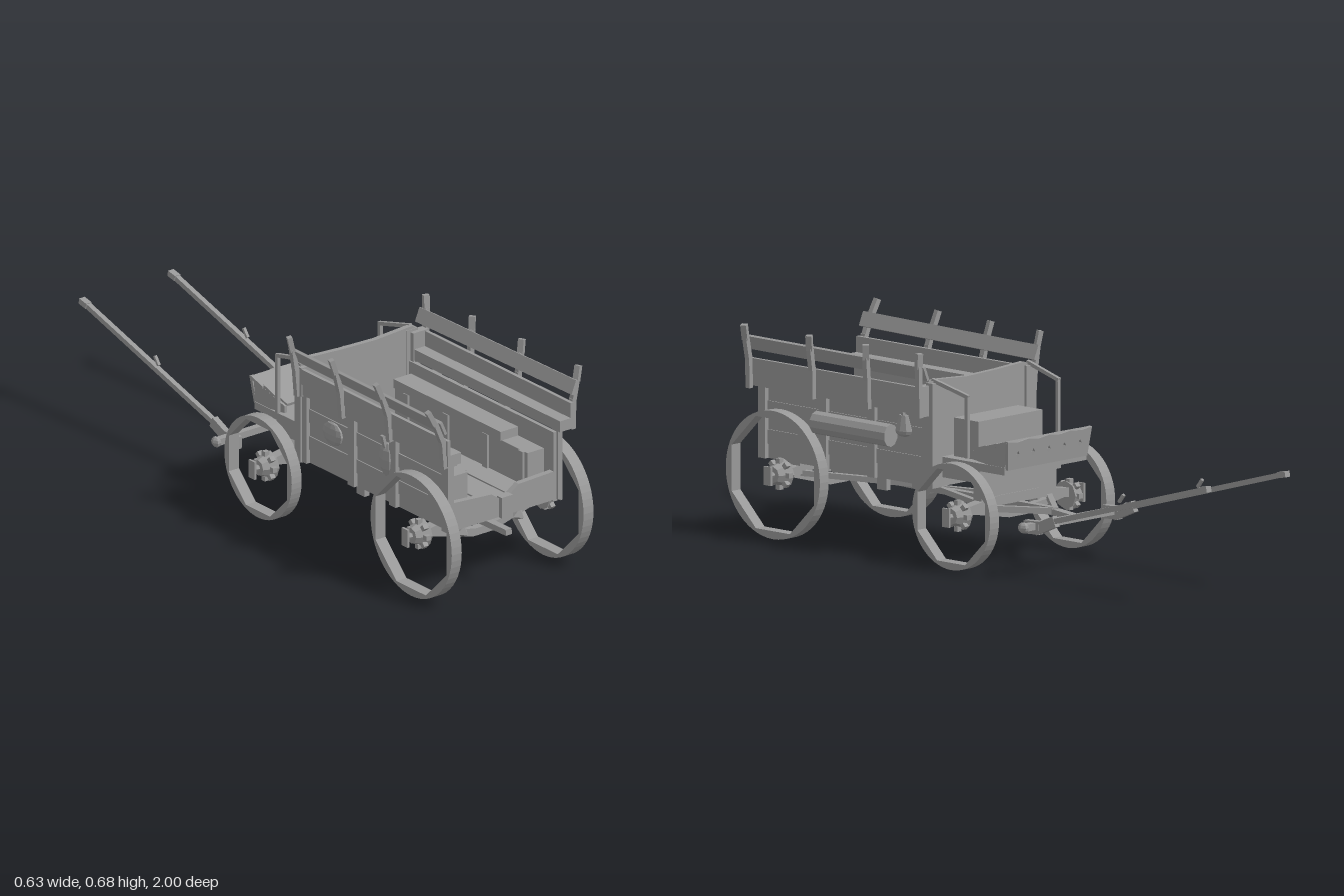
import * as THREE from 'three';

export function createModel() {
  const wagon = new THREE.Group();
  wagon.name = 'wagon';
  const grey = new THREE.MeshStandardMaterial({ color: 0x999999, flatShading: true, side: THREE.DoubleSide });
  grey.name = 'weathered grey';

  const add = (name, geo, x = 0, y = 0, z = 0, parent = wagon) => {
    const m = new THREE.Mesh(geo, grey);
    m.name = name;
    m.position.set(x, y, z);
    parent.add(m);
    return m;
  };
  // box given by its limits on each axis
  const box = (name, x0, x1, y0, y1, z0, z1) =>
    add(name, new THREE.BoxGeometry(Math.abs(x1 - x0), y1 - y0, z1 - z0), (x0 + x1) / 2, (y0 + y1) / 2, (z0 + z1) / 2);
  // straight timber between two points
  const beam = (name, a, b, w, h) => {
    const p = new THREE.Vector3(...a), q = new THREE.Vector3(...b);
    const m = add(name, new THREE.BoxGeometry(w, h, p.distanceTo(q)), ...p.clone().add(q).multiplyScalar(0.5).toArray());
    m.lookAt(q);
    return m;
  };
  const polygon = (pts) => new THREE.Shape(pts.map(([x, y]) => new THREE.Vector2(x, y)));
  const slab = (shape, depth) => new THREE.ExtrudeGeometry(shape, { depth, bevelEnabled: false, curveSegments: 28 });
  const ball = (name, x, y, z, sx, sy, sz, seg = 8) =>
    add(name, new THREE.SphereGeometry(1, seg, 6), x, y, z).scale.set(sx, sy, sz);

  // wheels: round rim with an eight-sided inner edge, separate hub
  const wheel = (name, s, x, z, y, r) => {
    const g = new THREE.Group();
    g.name = name;
    g.position.set(x, y, z);
    wagon.add(g);
    const rim = new THREE.Shape().absarc(0, 0, r, 0, Math.PI * 2);
    const hole = [];
    for (let i = 0; i < 8; i++) {
      const a = (i + 0.5) * Math.PI / 4;
      hole.push(new THREE.Vector2(Math.cos(a), Math.sin(a)).multiplyScalar(r - 0.011));
    }
    rim.holes.push(new THREE.Path(hole));
    const geo = slab(rim, 0.04);
    geo.translate(0, 0, -0.02);
    add(name + 'Rim', geo, 0, 0, 0, g).rotation.y = Math.PI / 2;
    const hub = add(name + 'Hub', new THREE.CylinderGeometry(0.026, 0.046, 0.05, 8), s * -0.005, 0, 0, g);
    hub.rotation.z = -s * Math.PI / 2;
    for (let i = 0; i < 8; i++) {
      const a = i * Math.PI / 4;
      const stub = add(name + 'SpokeStub', new THREE.BoxGeometry(0.018, 0.016, 0.016), s * -0.01, Math.cos(a) * 0.042, Math.sin(a) * 0.042, g);
      stub.rotation.x = a;
    }
    const axleEnd = add(name + 'AxleEnd', new THREE.CylinderGeometry(0.008, 0.012, 0.04, 6), s * 0.025, 0, 0, g);
    axleEnd.rotation.z = -s * Math.PI / 2;
    add(name + 'Linchpin', new THREE.BoxGeometry(0.008, 0.06, 0.03), s * 0.042, 0, 0, g);
  };

  // bed floor planks
  for (let i = 0; i < 8; i++) {
    const x = -0.2 + i * 0.05;
    box('floorPlank', x, x + 0.049, 0.25, 0.285 + (i % 2) * 0.004, 0.17, 0.9);
  }
  // low tail board with dipped middle and a tongue
  const tail = polygon([[-0.228, 0.24], [0.225, 0.24], [0.225, 0.338], [0.06, 0.332], [0.025, 0.308],
    [-0.02, 0.305], [-0.05, 0.325], [-0.19, 0.335], [-0.228, 0.335]]);
  add('tailBoard', slab(tail, 0.02), 0, 0, 0.89);
  box('tailTongue', -0.02, 0.025, 0.24, 0.31, 0.9, 0.925);

  // head board behind the driver, top edge sagging
  const head = polygon([[-0.205, 0.24], [0.205, 0.24], [0.235, 0.3], [0.235, 0.57], [0.215, 0.585], [0.07, 0.576],
    [-0.07, 0.58], [-0.19, 0.587], [-0.205, 0.582]]);
  add('headBoard', slab(head, 0.018), 0, 0, 0.16);

  for (const s of [-1, 1]) {
    // side wall planks and uprights
    for (let i = 0; i < 5; i++) {
      const y = 0.24 + i * 0.046;
      box('sidePlank', s * 0.2, s * (0.214 + (i % 2) * 0.004), y, y + 0.046, 0.17, 0.91);
    }
    for (const z of [0.17, 0.41, 0.62, 0.885]) box('sideUpright', s * 0.212, s * 0.229, 0.24, 0.475, z, z + 0.032);
    box('cornerPost', s * 0.19, s * 0.235, 0.24, 0.575, 0.15, 0.18);
    box('sillBlock', s * 0.165, s * 0.185, 0.195, 0.25, 0.4, 0.44);
    box('sillBlock', s * 0.165, s * 0.185, 0.22, 0.25, 0.66, 0.71);

    // ledge on top of the wall with an end block and an outer board
    const mid = s * 0.224 + 0.011;
    box('wallLedge', mid - 0.026, mid + 0.026, 0.475, 0.512, 0.17, 0.93);
    box('ledgeBlock', mid - 0.03, mid + 0.03, 0.47, 0.567, 0.165, 0.195);
    const outer = mid + s * 0.023;
    box('outerBoard', outer - 0.006, outer + 0.006, 0.512, 0.563, 0.17, 0.93);

    // leaning stakes carrying the upper rail
    const foot = s > 0 ? 0.27 : -0.243;
    const waist = s > 0 ? 0.272 : -0.252;
    for (const [i, z] of [0.175, 0.4, 0.64, 0.915].entries()) {
      const tip = s > 0 ? 0.274 + i * 0.008 : -0.273 - i * 0.011;
      const elbow = waist + (tip - waist) * 0.55;
      beam('stakeFoot', [foot, 0.468, z], [waist, 0.57, z], 0.018, 0.016);
      beam('stake', [waist, 0.56, z], [elbow, 0.632, z], 0.018, 0.016);
      beam('stakeTip', [elbow, 0.625, z], [tip, 0.674, z - 0.004], 0.02, 0.016);
    }
    const railX = s > 0 ? 0.253 : -0.249;
    const rail = beam('upperRail', [railX, 0.608, 0.16], [railX + s * 0.012, 0.614, 0.935], 0.01, 0.048);
    rail.rotateZ(-s * 0.4);

    // bench inside the bed
    const inner = s > 0 ? 0.135 : 0.105;
    box('bench', s * inner, s * 0.2, 0.28, 0.4, 0.19, 0.86);
    box('benchSeat', s * (inner - 0.005), s * 0.2, 0.4, 0.43, s > 0 ? 0.19 : 0.26, s > 0 ? 0.73 : 0.8);
    for (const z of [0.24, 0.44, 0.64, 0.82]) box('benchBatten', s * (inner - 0.008), s * inner, 0.285, 0.4, z, z + 0.025);

    // rail beside the driver
    beam('driverRailTop', [s * 0.215, 0.583, 0.17], [s * 0.205, 0.545, 0.022], 0.012, 0.012);
    box('driverRailPost', s * 0.2, s * 0.211, 0.35, 0.548, 0.022, 0.034);
    // wedge-shaped cheek closing the dash, profile in z and y
    const cheek = polygon([[-0.035, 0.345], [0.115, 0.325], [0.128, 0.41], [-0.035, 0.368]]);
    const cheekGeo = slab(cheek, 0.01);
    cheekGeo.rotateY(Math.PI / 2);
    add('dashCheek', cheekGeo, s * 0.178 - 0.005).name = 'dashCheek';

    wheel('rearWheel', s, s > 0 ? 0.268 : -0.26, 0.795, 0.207, 0.205);
    wheel('frontWheel', s, s > 0 ? 0.272 : -0.254, 0.015, 0.176, 0.17);

    // shafts with thick roots, hooks and tips
    const sx = s * 0.178 + 0.003;
    beam('shaftRoot', [sx, 0.16, -0.205], [sx, 0.163, -0.27], 0.022, 0.042);
    beam('shaftNeck', [sx, 0.155, -0.25], [sx, 0.192, -0.335], 0.02, 0.036);
    beam('shaft', [sx, 0.183, -0.3], [sx, 0.378, -0.98], 0.017, 0.017);
    beam('shaftTip', [sx, 0.375, -0.965], [sx, 0.382, -1], 0.022, 0.019);
    beam('shaftHook', [sx, 0.29, -0.61], [sx, 0.316, -0.63], 0.01, 0.009);
    ball('crossbarEnd', s * 0.235, 0.167, -0.245, 0.014, 0.018, 0.02, 6);

    // undercarriage braces
    beam('frontBrace', [s * 0.15, 0.185, 0.015], [0, 0.178, -0.16], 0.018, 0.02);
    beam('reachBrace', [s * 0.11, 0.18, 0.02], [0, 0.185, 0.36], 0.018, 0.018);
    beam('rearBrace', [s * 0.17, 0.2, 0.79], [0, 0.185, 0.45], 0.018, 0.018);
    const knob = add('braceKnob', new THREE.OctahedronGeometry(0.024), s * 0.112, 0.192, 0.84);
    knob.rotation.set(0.4, 0.3, 0);
  }

  // driver's seat box, floor and sloping foot planks
  box('driverFloor', -0.185, 0.185, 0.27, 0.31, -0.005, 0.16);
  box('footBoard', -0.185, 0.185, 0.31, 0.335, -0.115, 0.16);
  box('driverSeat', -0.14, 0.15, 0.335, 0.458, 0.032, 0.14);
  for (let i = 0; i < 3; i++) {
    const z = 0.035 - i * 0.053, y = 0.37 + i * 0.014;
    beam('footPlank', [0, y, z], [0, y + 0.018, z - 0.058], 0.35 + i * 0.015, 0.01);
  }
  // dash panel with scalloped top and pierced diamonds
  const topEdge = [];
  for (let i = 0; i <= 8; i++) topEdge.push([0.19 - i * 0.0475, 0.094 - (i % 2) * 0.006]);
  const dash = polygon([[-0.18, 0], [0.18, 0], ...topEdge]);
  for (const x of [-0.14, -0.07, 0, 0.07, 0.14]) {
    const d = 0.012;
    dash.holes.push(new THREE.Path([[x - d * 0.7, 0.047], [x, 0.047 + d], [x + d * 0.7, 0.047], [x, 0.047 - d]]
      .map(([a, b]) => new THREE.Vector2(a, b))));
  }
  add('dashPanel', slab(dash, 0.012), 0, 0.326, -0.124).rotation.x = -0.12;

  // bowed axles: centre height, drop of the lower truss
  for (const [z, y, drop] of [[0.795, 0.2, 0.055], [0.015, 0.18, 0.038]]) {
    const upper = polygon([[-0.245, y - 0.012], [-0.1, y + 0.008], [0.1, y + 0.008], [0.245, y - 0.012],
      [0.245, y + 0.018], [0.09, y + 0.04], [-0.09, y + 0.04], [-0.245, y + 0.018]]);
    add('axleBeam', slab(upper, 0.036), 0, 0, z - 0.018);
    const lower = polygon([[-0.245, y], [-0.04, y - drop], [0.04, y - drop], [0.245, y], [0.235, y + 0.012],
      [0.03, y - drop + 0.025], [-0.03, y - drop + 0.025], [-0.235, y + 0.012]]);
    add('axleTruss', slab(lower, 0.025), 0, 0, z - 0.0125);
  }
  box('rearBolster', -0.19, 0.19, 0.225, 0.255, 0.77, 0.82);
  box('frontBolster', -0.17, 0.17, 0.21, 0.275, 0, 0.035);
  beam('reachPole', [0, 0.192, 0.935], [0, 0.18, 0.4], 0.024, 0.02);
  beam('reachPole', [0, 0.18, 0.41], [0, 0.18, -0.16], 0.024, 0.02);
  beam('drawTongue', [0, 0.178, -0.13], [0, 0.167, -0.25], 0.03, 0.02);
  box('crossbar', -0.235, 0.235, 0.156, 0.178, -0.257, -0.234);

  // blanket roll and pouch on the left side, round pan and sack on the right
  const roll = add('blanketRoll', new THREE.CylinderGeometry(0.037, 0.037, 0.325, 10), 0.248, 0.39, 0.482);
  roll.rotation.x = Math.PI / 2;
  roll.scale.x = 0.85;
  add('pouch', new THREE.CylinderGeometry(0.018, 0.034, 0.05, 8), 0.236, 0.435, 0.275).scale.x = 0.55;
  ball('pouchBase', 0.236, 0.41, 0.275, 0.019, 0.02, 0.034);
  beam('pouchStrap', [0.236, 0.45, 0.275], [0.24, 0.48, 0.275], 0.008, 0.012);
  ball('pan', -0.225, 0.385, 0.33, 0.012, 0.04, 0.05, 10);
  ball('sack', -0.22, 0.39, 0.6, 0.02, 0.062, 0.036);
  beam('sackTie', [-0.224, 0.43, 0.6], [-0.235, 0.475, 0.6], 0.012, 0.02);

  return wagon;
}
